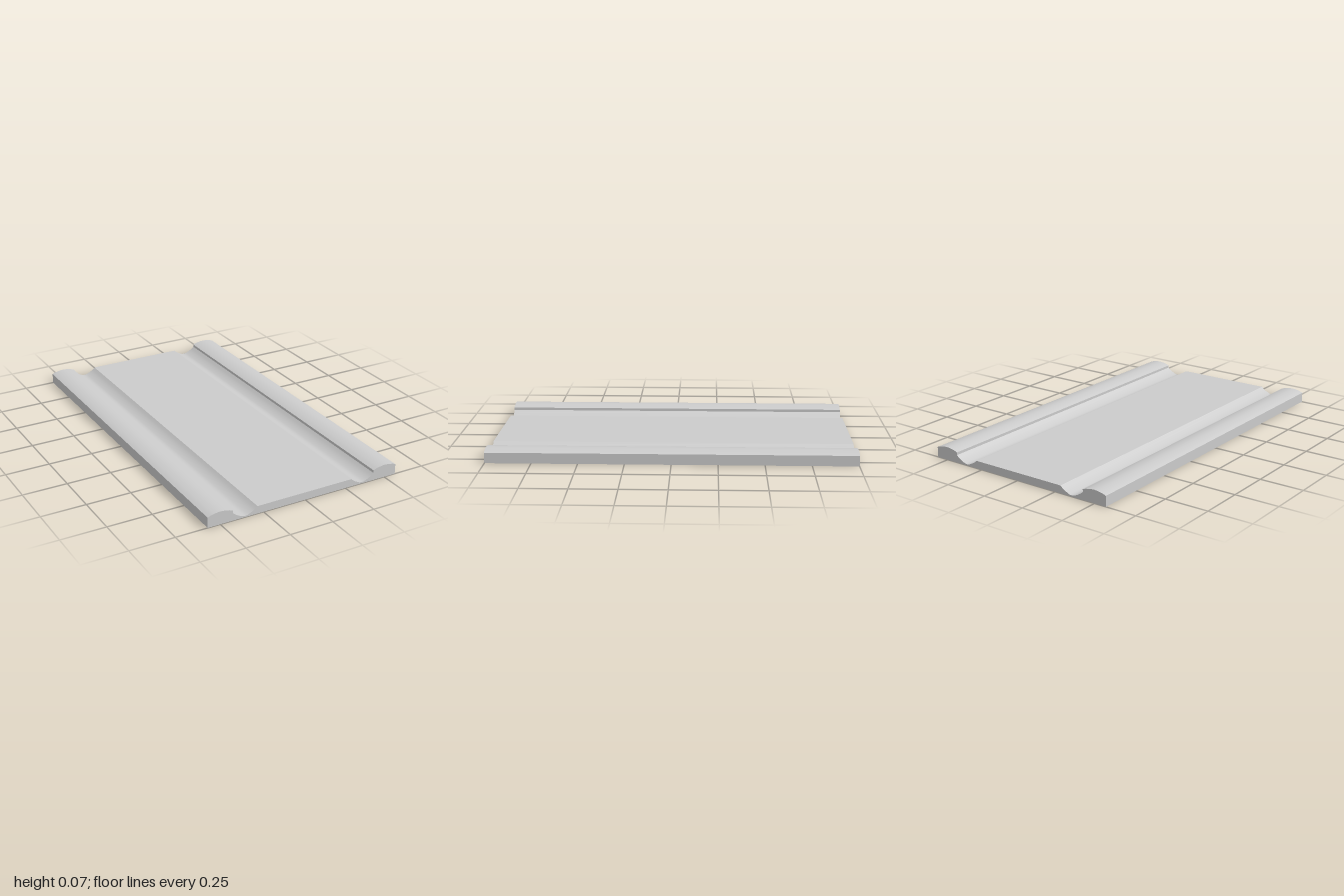
import * as THREE from 'three';
import { toCreasedNormals } from 'three/addons/utils/BufferGeometryUtils.js';

const LENGTH = 2;

// Right half of the cross-section, from the flat field out to the base edge
const halfProfile = [
  [0.286, 0.043], // edge of the flat field
  [0.3, 0.031], [0.314, 0.022], [0.342, 0.009], [0.357, 0.007], // hollow
  [0.372, 0.009], [0.4, 0.022], [0.414, 0.031], [0.428, 0.043],
  [0.428, 0.058], // inner wall of the raised border
  [0.446, 0.065], [0.464, 0.069], [0.482, 0.072], [0.5, 0.073], // rounded top
  [0.518, 0.072], [0.536, 0.069], [0.554, 0.065], [0.571, 0.058],
  [0.571, 0], // outer wall
];

export function createModel() {
  const group = new THREE.Group();
  group.name = 'mouldedPanel';

  // Full outline: right half reversed (base to field), then the mirrored left half
  const right = halfProfile.map(([x, y]) => new THREE.Vector2(x, y)).reverse();
  const left = halfProfile.map(([x, y]) => new THREE.Vector2(-x, y));
  const outline = new THREE.Shape([...right, ...left]);

  // Extrude along z; creases stay at the field edges and border walls
  const extruded = new THREE.ExtrudeGeometry(outline, { depth: LENGTH, bevelEnabled: false });
  extruded.translate(0, 0, -LENGTH / 2);
  const panel = new THREE.Mesh(
    toCreasedNormals(extruded, 0.6),
    new THREE.MeshStandardMaterial({ color: 0xcccccc })
  );
  panel.name = 'panel';
  group.add(panel);
  return group;
}
